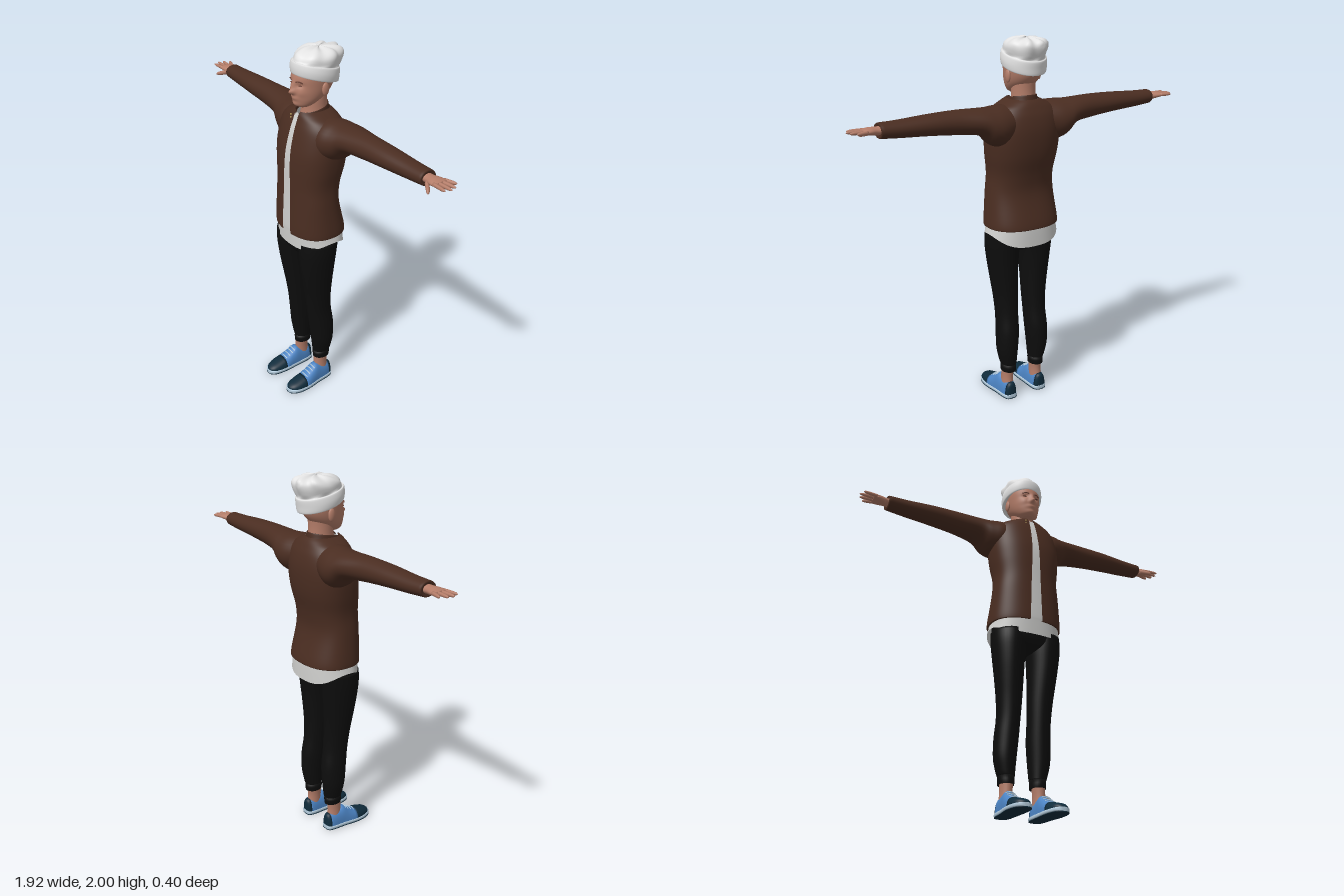
import * as THREE from 'three';

const mat = (name, color, double) => {
  const m = new THREE.MeshStandardMaterial({ color });
  m.name = name;
  if (double) m.side = THREE.DoubleSide;
  return m;
};

// Signed power, used for squarish ellipses
const sp = (v, e) => Math.sign(v) * Math.abs(v) ** e;
const bump = (x, y, cx, cy, sx, sy) => Math.exp(-(((x - cx) / sx) ** 2) - ((y - cy) / sy) ** 2);

// Catmull-Rom through rows of numbers, k steps per span
function spline(rows, k = 4) {
  const out = [];
  const at = (i) => rows[Math.max(0, Math.min(rows.length - 1, i))];
  for (let i = 0; i < rows.length - 1; i++) {
    for (let s = 0; s < k; s++) {
      const t = s / k;
      out.push(rows[0].map((_, c) => {
        const a = at(i - 1)[c], b = at(i)[c], d = at(i + 1)[c], e = at(i + 2)[c];
        return b + 0.5 * t * (d - a + t * (2 * a - 5 * b + 4 * d - e + t * (3 * (b - d) + e - a)));
      }));
    }
  }
  out.push(rows[rows.length - 1]);
  return out;
}

// Skin a list of rings, each a list of [x, y, z]
function loft(rings, { closed = true, caps = true } = {}) {
  const n = rings[0].length, pos = rings.flat(2), index = [];
  const m = closed ? n : n - 1;
  for (let i = 0; i < rings.length - 1; i++) {
    for (let j = 0; j < m; j++) {
      const a = i * n + j, b = i * n + (j + 1) % n, c = b + n, d = a + n;
      index.push(a, b, c, a, c, d);
    }
  }
  if (closed && caps) {
    [0, rings.length - 1].forEach((r) => {
      const centre = pos.length / 3;
      for (let c = 0; c < 3; c++) pos.push(rings[r].reduce((s, p) => s + p[c], 0) / n);
      for (let j = 0; j < n; j++) {
        const a = r * n + j, b = r * n + (j + 1) % n;
        if (r) index.push(centre, a, b); else index.push(centre, b, a);
      }
    });
  }
  const g = new THREE.BufferGeometry();
  g.setAttribute('position', new THREE.Float32BufferAttribute(pos, 3));
  g.setIndex(index);
  g.computeVertexNormals();
  return g;
}

const circle = (n, fn, t0 = 0, t1 = Math.PI * 2, closed = true) =>
  Array.from({ length: n }, (_, j) => fn(t0 + (t1 - t0) * j / (closed ? n : n - 1)));

// Horizontal ring from [y, halfWidth, zFront, zBack, slope, xCentre]
const pointY = ([y, w, zf, zb, slope = 0, xc = 0], e = 1) => (t) => {
  const dz = (zf - zb) / 2 * sp(Math.cos(t), e);
  return [xc + w * sp(Math.sin(t), e), y + slope * dz, (zf + zb) / 2 + dz];
};
// Ring across x from [x, y, ry, z, rz]
const ringX = ([x, y, ry, z, rz], n = 24) => circle(n, (t) => [x, y + ry * Math.cos(t), z + rz * Math.sin(t)]);

const tube = (pts, r) => new THREE.TubeGeometry(
  new THREE.CatmullRomCurve3(pts.map((p) => new THREE.Vector3(...p))), 12, r, 6);

function mirrored(g) {
  const m = g.clone().scale(-1, 1, 1), a = m.index.array;
  for (let i = 0; i < a.length; i += 3) [a[i], a[i + 1]] = [a[i + 1], a[i]];
  return m;
}

export function createModel() {
  const root = new THREE.Group();
  const skin = mat('skin', 0xb47d69), darkSkin = mat('dark skin', 0x6b4236);
  const brown = mat('jacket brown', 0x4a2d21, true), white = mat('shirt white', 0xcfcfcd, true);
  const wool = mat('hat white', 0xe2e2e2, true), black = mat('trouser black', 0x0d0d0d, true);
  const blue = mat('shoe blue', 0x4c84c4), navy = mat('shoe navy', 0x102c3c);
  const pale = mat('sole pale', 0xb4cbdc), brass = mat('brass', 0xb89a5a);

  const add = (name, g, m) => {
    const mesh = new THREE.Mesh(g, m);
    mesh.name = name;
    root.add(mesh);
  };
  const pair = (name, g, m) => { add(name + 'Left', g, m); add(name + 'Right', mirrored(g), m); };
  const blob = (x, y, z, rx, ry, rz) => new THREE.SphereGeometry(1, 16, 12).scale(rx, ry, rz).translate(x, y, z);

  // Head with a sculpted face
  const headRows = spline([[1.712, .03, .045, -.02], [1.725, .05, .06, -.045], [1.75, .068, .068, -.09],
    [1.78, .08, .071, -.13], [1.82, .088, .071, -.155], [1.87, .092, .069, -.16], [1.92, .088, .05, -.15]], 7);
  add('head', loft(headRows.map((r) => circle(64, (t) => {
    const [x, y, z] = pointY(r)(t);
    const ax = Math.abs(x);
    const push = 0.027 * bump(x, y, 0, 1.797, .014, .014) + 0.014 * bump(x, y, 0, 1.823, .011, .022)
      - 0.009 * bump(ax, y, .034, 1.832, .018, .011) + 0.006 * bump(x, y, 0, 1.764, .026, .012)
      + 0.006 * bump(x, y, 0, 1.73, .025, .014) + 0.005 * bump(ax, y, .045, 1.795, .02, .02);
    return [x, y, Math.cos(t) > 0 ? z + push : z];
  }))), skin);
  add('neck', loft(spline([[1.62, .075, .03, -.13], [1.68, .062, .015, -.122], [1.74, .06, .012, -.12],
    [1.8, .06, .01, -.125]]).map((r) => circle(32, pointY(r)))), skin);
  pair('ear', blob(.091, 1.808, -.055, .011, .034, .02).rotateX(0), skin);
  pair('eye', blob(.034, 1.831, .056, .014, .003, .006), darkSkin);
  pair('eyebrow', tube([[.016, 1.848, .069], [.034, 1.853, .064], [.053, 1.847, .053]], .003), darkSkin);
  add('mouth', tube([[-.027, 1.768, .062], [0, 1.763, .073], [.027, 1.768, .062]], .003), darkSkin);

  // Knitted hat: folded brim and slouched crown
  const hatRows = spline([[1.855, .098, .055, -.165, .27], [1.848, .109, .066, -.178, .27],
    [1.88, .114, .07, -.183, .26], [1.912, .109, .066, -.187, .24], [1.917, .101, .057, -.181, .22],
    [1.95, .104, .043, -.199, .14], [1.973, .094, .018, -.204, .09], [1.989, .07, -.012, -.186, .05],
    [1.995, .035, -.045, -.14, .02], [1.996, .004, -.08, -.088, 0]], 4);
  add('hat', loft(hatRows.map((r, i) => circle(64, (t) => {
    const [x, y, z] = pointY(r)(t);
    const fold = i > 16 ? 1 + 0.035 * Math.sin(7 * t + i * 0.12) : 1;
    return [x * fold, y + (fold - 1) * 0.1, Math.max(z * fold, -.205)];
  }))), wool);

  // Jacket body, open along the front
  const torso = [[1.02, .201, .123, -.186], [1.06, .2, .124, -.18], [1.2, .187, .12, -.148],
    [1.3, .18, .118, -.156], [1.4, .193, .117, -.18], [1.48, .2, .111, -.19], [1.55, .198, .097, -.19],
    [1.61, .188, .08, -.178], [1.65, .158, .065, -.16], [1.675, .11, .056, -.145], [1.69, .076, .045, -.13]];
  const openRing = (r, e) => {
    const g = Math.max(0, (1.66 - r[0]) / .64);
    const angle = (x) => Math.asin((x / r[1]) ** (1 / e));
    return circle(72, pointY(r, e), angle(.018 + .015 * g), Math.PI * 2 - angle(.012 + .025 * g), false);
  };
  const hemTuck = [1.022, .19, .113, -.176];
  add('jacketBody', loft([hemTuck, ...spline(torso, 5)].map((r) => openRing(r, .85)), { closed: false }), brown);
  add('collar', loft(spline([[1.66, .082, .05, -.135, -.1], [1.683, .077, .052, -.13, -.13],
    [1.7, .073, .05, -.126, -.16], [1.695, .067, .043, -.12, -.16]]).map((r) => openRing(r, 1)), { closed: false }), brown);
  for (const y of [1.648, 1.664]) add('collarStud', blob(-.034, y, .064, .005, .005, .004), brass);

  // Shirt inside the jacket, with a curved tail
  const shirtRows = [[.95, .2, .112, -.178], ...torso.map(([y, w, f, b]) => [y, w - .01, f - .008, b + .01])].slice(0, -1);
  add('shirt', loft(spline(shirtRows, 5).map((r) => circle(72, (t) => {
    const [x, y, z] = pointY(r, .85)(t);
    const hang = Math.max(0, (1.02 - r[0]) / .07);
    return [x, y + hang * (0.035 * Math.sin(t) ** 4 - (Math.cos(t) > 0 ? .008 : .026) * Math.cos(t) ** 2), z];
  })), { caps: false }), white);
  add('shirtCollar', loft([[1.64, .07, .045, -.12], [1.678, .067, .038, -.122, -.1]]
    .map((r) => circle(40, pointY(r))), { caps: false }), white);

  // Sleeves
  const sleeve = spline([[.08, 1.58, .085, -.055, .1], [.16, 1.567, .104, -.066, .116], [.22, 1.575, .094, -.076, .108],
    [.28, 1.602, .068, -.08, .09], [.4, 1.612, .061, -.076, .07], [.55, 1.617, .052, -.075, .063],
    [.7, 1.618, .043, -.077, .053], [.8, 1.621, .038, -.077, .047]], 5);
  pair('sleeve', loft([...sleeve, [.807, 1.621, .035, -.077, .044], [.8, 1.621, .028, -.077, .036]]
    .map((r) => ringX(r, 32))), brown);

  // Hands: palm, four fingers and a thumb
  pair('palm', loft(spline([[.785, 1.622, .022, -.077, .03], [.815, 1.622, .02, -.077, .029],
    [.845, 1.624, .019, -.078, .038], [.87, 1.626, .014, -.08, .043], [.885, 1.627, .009, -.08, .04]])
    .map((r) => ringX(r))), skin);
  const digit = (a, b, r) => loft(spline([0, .5, .85, 1].map((f, i) => [
    ...a.map((v, c) => v + (b[c] - v) * f), r * [1, .95, .75, .2][i]]), 3)
    .map(([x, y, z, q]) => ringX([x, y, q, z, q], 10)));
  [[-.113, .927, -.13], [-.092, .95, -.101], [-.07, .958, -.072], [-.048, .945, -.042]].forEach(([z0, x1, z1]) =>
    pair('finger', digit([.868, 1.627, z0], [x1, 1.628, z1], .0095), skin));
  pair('thumb', digit([.82, 1.615, -.055], [.878, 1.596, -.012], .013), skin);

  // Trousers: hips, legs and ankle cuffs
  add('hips', loft(spline([[.865, .03, .03, -.05], [.885, .1, .075, -.095], [.92, .178, .098, -.115],
    [.97, .188, .103, -.135], [1.04, .18, .1, -.14]]).map((r) => circle(48, pointY(r, .9)))), black);
  const legRows = [[.205, .043, .006, -.098, 0, .09], [.23, .048, .01, -.103, 0, .093], [.3, .058, .02, -.112, 0, .097],
    [.4, .062, .031, -.114, 0, .093], [.5, .061, .043, -.1, 0, .089], [.6, .066, .057, -.095, 0, .09],
    [.7, .073, .074, -.098, 0, .095], [.8, .081, .09, -.105, 0, .1], [.9, .09, .101, -.115, 0, .102],
    [.97, .092, .1, -.125, 0, .1]];
  pair('leg', loft(spline(legRows).map((r) => circle(36, pointY(r)))), black);
  pair('cuff', loft([[.162, .036, 0, -.09, 0, .09], [.16, .04, .004, -.095, 0, .09], [.185, .041, .006, -.097, 0, .09],
    [.208, .04, .004, -.095, 0, .09]].map((r) => circle(32, pointY(r)))), black);
  pair('ankle', loft(spline([[.06, .034, .005, -.085, 0, .095], [.12, .031, .002, -.078, 0, .093],
    [.18, .034, .002, -.085, 0, .09]]).map((r) => circle(24, pointY(r)))), skin);

  // Shoes: rows of [z, xCentre, halfWidth, height]
  const shoe = spline([[-.1, .096, .012, .058], [-.092, .096, .03, .073], [-.06, .096, .039, .083], [-.02, .097, .042, .092],
    [.01, .098, .044, .1], [.04, .1, .047, .08], [.08, .102, .051, .057], [.13, .103, .049, .042],
    [.17, .102, .039, .03], [.19, .101, .022, .018], [.196, .1, .006, .01]]);
  const upper = (from, to) => loft(shoe.slice(from, to + 1).map(([z, xc, w, h]) => circle(32, (t) =>
    [xc + w * sp(Math.cos(t), .8), .018 + h * Math.max(0, Math.sin(t)) ** .8, z])));
  const slab = (y, half, grow) => loft(shoe.map(([z, xc, w]) => circle(24, (t) =>
    [xc + (w + grow) * sp(Math.cos(t), .4), y + half * sp(Math.sin(t), .4), z * 1.02])));
  pair('shoeHeel', upper(0, 6), navy);
  pair('shoeUpper', upper(6, 25), blue);
  pair('shoeToe', upper(25, 40), navy);
  pair('sole', slab(.0145, .0105, .004), pale);
  pair('outsole', slab(.0025, .0025, .003), navy);
  for (const i of [18, 20, 22, 24]) {
    const [z, xc, , h] = shoe[i];
    pair('lace', tube([[xc - .026, h + .011, z], [xc, h + .019, z + .003], [xc + .026, h + .011, z]], .0035), pale);
  }
  return root;
}
